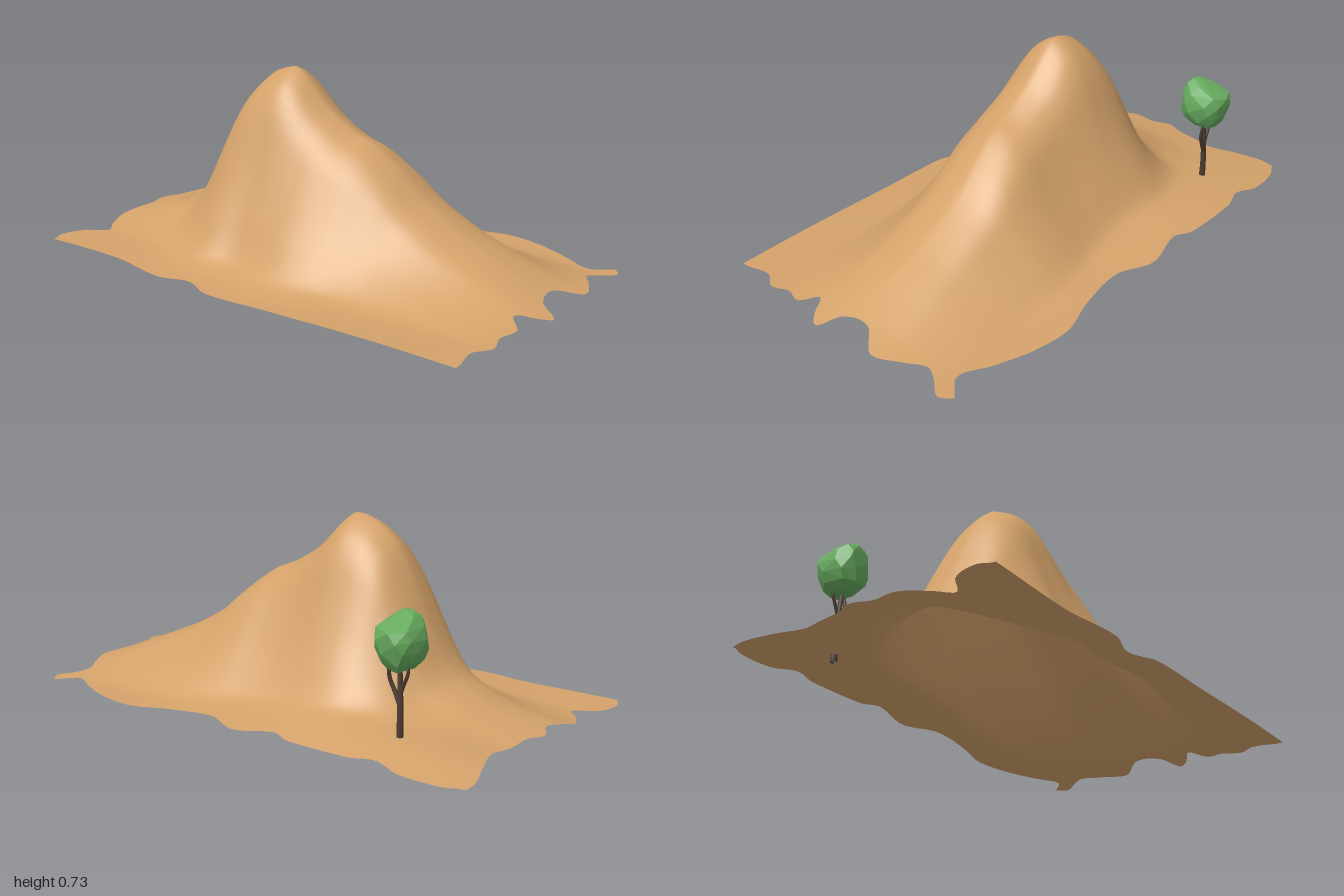
import * as THREE from 'three';
import { ConvexGeometry } from 'three/addons/geometries/ConvexGeometry.js';

// Smooth interpolation through [t, value] pairs sorted by t
function table(pairs) {
  const n = pairs.length;
  const slope = (i) => {
    const a = pairs[Math.max(0, i - 1)], b = pairs[Math.min(n - 1, i + 1)];
    return (b[1] - a[1]) / (b[0] - a[0]);
  };
  return (t) => {
    if (t <= pairs[0][0]) return pairs[0][1];
    if (t >= pairs[n - 1][0]) return pairs[n - 1][1];
    let i = 0;
    while (t > pairs[i + 1][0]) i++;
    const [t0, v0] = pairs[i], [t1, v1] = pairs[i + 1];
    const d = t1 - t0, s = (t - t0) / d, s2 = s * s, s3 = s2 * s;
    return v0 * (2 * s3 - 3 * s2 + 1) + v1 * (3 * s2 - 2 * s3)
      + d * (slope(i) * (s3 - 2 * s2 + s) + slope(i + 1) * (s3 - s2));
  };
}

// Ragged outline of the ground: x by z for the ends, z by x for the long sides
const leftEdge = table([[-0.6, -0.95], [-0.53, -0.96], [-0.42, -0.93], [-0.3, -0.9], [-0.2, -0.92], [-0.1, -0.93],
  [-0.03, -0.96], [0.05, -0.93], [0.12, -0.95], [0.2, -0.97], [0.3, -0.93], [0.36, -0.89], [0.42, -0.97], [0.52, -1], [0.57, -0.98]]);
const rightEdge = table([[-0.58, 0.94], [-0.53, 0.97], [-0.46, 0.92], [-0.41, 0.9], [-0.34, 0.94], [-0.22, 0.985], [-0.12, 0.91],
  [0, 0.93], [0.05, 1], [0.1, 0.97], [0.15, 0.9], [0.22, 0.95], [0.3, 0.93], [0.38, 0.95], [0.45, 0.91], [0.55, 0.93]]);
const backEdge = table([[-0.96, -0.55], [-0.9, -0.58], [-0.75, -0.597], [-0.65, -0.57], [-0.55, -0.595], [-0.3, -0.59], [-0.22, -0.56],
  [-0.05, -0.587], [0.1, -0.53], [0.3, -0.55], [0.45, -0.592], [0.6, -0.575], [0.75, -0.52], [0.87, -0.465], [0.95, -0.53]]);
const frontEdge = table([[-0.98, 0.56], [-0.6, 0.55], [-0.35, 0.58], [-0.22, 0.545], [-0.1, 0.59], [0.2, 0.585], [0.5, 0.58], [0.93, 0.575]]);

// Crest height along x, and how the slope falls away from the crest
const crest = table([[-1, 0.05], [-0.8, 0.09], [-0.7, 0.13], [-0.6, 0.185], [-0.55, 0.24], [-0.5, 0.335], [-0.45, 0.445], [-0.4, 0.55],
  [-0.35, 0.635], [-0.3, 0.685], [-0.25, 0.717], [-0.17, 0.737], [-0.12, 0.71], [-0.05, 0.637], [0, 0.59], [0.1, 0.525], [0.2, 0.48],
  [0.3, 0.405], [0.4, 0.315], [0.5, 0.25], [0.6, 0.195], [0.7, 0.15], [0.8, 0.105], [0.9, 0.063], [1, 0.03]]);
const fall = table([[0, 1], [0.05, 0.965], [0.1, 0.905], [0.15, 0.79], [0.2, 0.6], [0.25, 0.42], [0.3, 0.265], [0.35, 0.125], [0.39, 0.05], [0.46, 0.012], [0.55, 0]]);
// Width of the slopes along x: spurs and hollows
const frontSpread = table([[-1, 0.9], [-0.5, 0.95], [-0.32, 1.03], [-0.17, 0.98], [0.08, 1.13], [0.3, 1.1], [1, 1.1]]);
const backSpread = table([[-1, 0.92], [-0.5, 0.96], [-0.3, 1.03], [-0.1, 1], [0.2, 1.07], [0.5, 1.1], [1, 1.1]]);

function height(x, z) {
  const base = 0.016 + 0.082 * Math.exp(-(((x + 0.48) / 0.58) ** 2) - ((z + 0.4) / 0.28) ** 2)
    + 0.005 * Math.sin(5 * x + 2) * Math.cos(4 * z) + 0.004 * Math.sin(9 * z + 3 * x);
  const dz = z + 0.03 * THREE.MathUtils.smoothstep(x, 0, 0.4);
  const spread = dz > 0 ? frontSpread(x) : backSpread(x);
  return base + Math.max(0, crest(x) - base) * fall(Math.abs(dz) / spread);
}

function hillGeometry() {
  const g = new THREE.PlaneGeometry(1, 1, 110, 70).rotateX(-Math.PI / 2);
  const p = g.attributes.position;
  for (let i = 0; i < p.count; i++) {
    const u = p.getX(i) + 0.5, v = p.getZ(i) + 0.5;
    const roughX = -0.97 + 1.92 * u, roughZ = -0.58 + 1.16 * v;
    const x = THREE.MathUtils.lerp(leftEdge(roughZ), rightEdge(roughZ), u);
    const z = THREE.MathUtils.lerp(backEdge(roughX), frontEdge(roughX), v);
    p.setXYZ(i, x, height(x, z), z);
  }
  g.computeBoundingBox();
  g.translate(0, -g.boundingBox.min.y, 0);
  g.computeVertexNormals();
  return g;
}

// Tapered limb along a curve of points
function limb(points, r0, r1) {
  const curve = new THREE.CatmullRomCurve3(points.map((q) => new THREE.Vector3(...q)));
  const rows = 8, sides = 7;
  const g = new THREE.TubeGeometry(curve, rows, 1, sides, false);
  const p = g.attributes.position, v = new THREE.Vector3();
  for (let i = 0; i < p.count; i++) {
    const t = Math.floor(i / (sides + 1)) / rows;
    const c = curve.getPointAt(t);
    v.fromBufferAttribute(p, i).sub(c).multiplyScalar(r0 + (r1 - r0) * t).add(c);
    p.setXYZ(i, v.x, v.y, v.z);
  }
  g.computeVertexNormals();
  return g;
}

export function createModel() {
  const model = new THREE.Group();
  const add = (parent, name, geometry, color, extra = {}) => {
    const mesh = new THREE.Mesh(geometry, new THREE.MeshStandardMaterial({ color, ...extra }));
    mesh.name = name;
    parent.add(mesh);
  };

  // Ground sheet rising into the hill
  add(model, 'hill', hillGeometry(), 0xd4a26a, { side: THREE.DoubleSide });

  // Tree on the low ground behind
  const tree = new THREE.Group();
  tree.name = 'tree';
  model.add(tree);
  const bark = { side: THREE.DoubleSide };
  add(tree, 'trunk', limb([[-0.625, 0.06, -0.41], [-0.625, 0.15, -0.41], [-0.621, 0.25, -0.407], [-0.615, 0.35, -0.402]], 0.013, 0.008), 0x4a3c30, bark);
  add(tree, 'leftBranch', limb([[-0.622, 0.2, -0.41], [-0.602, 0.245, -0.411], [-0.585, 0.285, -0.415], [-0.586, 0.35, -0.425]], 0.009, 0.006), 0x4a3c30, bark);
  add(tree, 'rightBranch', limb([[-0.623, 0.235, -0.408], [-0.636, 0.27, -0.409], [-0.653, 0.315, -0.41], [-0.65, 0.36, -0.41]], 0.007, 0.005), 0x4a3c30, bark);

  // Faceted boxy crown, as rings of corners: [y, centre z, half width, half depth, corners, turn]
  const rings = [[0.322, -0.4, 0.035, 0.048, 6, 0.3], [0.35, -0.395, 0.062, 0.076, 7, 0.8], [0.39, -0.4, 0.078, 0.086, 8, 0.2],
    [0.43, -0.406, 0.08, 0.091, 8, 0.5], [0.465, -0.405, 0.068, 0.09, 7, 0.2], [0.495, -0.367, 0.045, 0.042, 6, 0.6], [0.51, -0.355, 0.018, 0.018, 4, 0]];
  const boxy = (s) => Math.sign(s) * Math.abs(s) ** 0.7;
  const corners = [];
  for (const [y, cz, rx, rz, n, turn] of rings) {
    for (let k = 0; k < n; k++) {
      const a = turn + (k / n) * Math.PI * 2;
      corners.push(new THREE.Vector3(-0.62 + rx * boxy(Math.cos(a)), y + 0.005 * Math.sin(k * 2.4 + y * 40), cz + rz * boxy(Math.sin(a))));
    }
  }
  add(tree, 'crown', new ConvexGeometry(corners), 0x66aa5e, { flatShading: true });
  return model;
}
